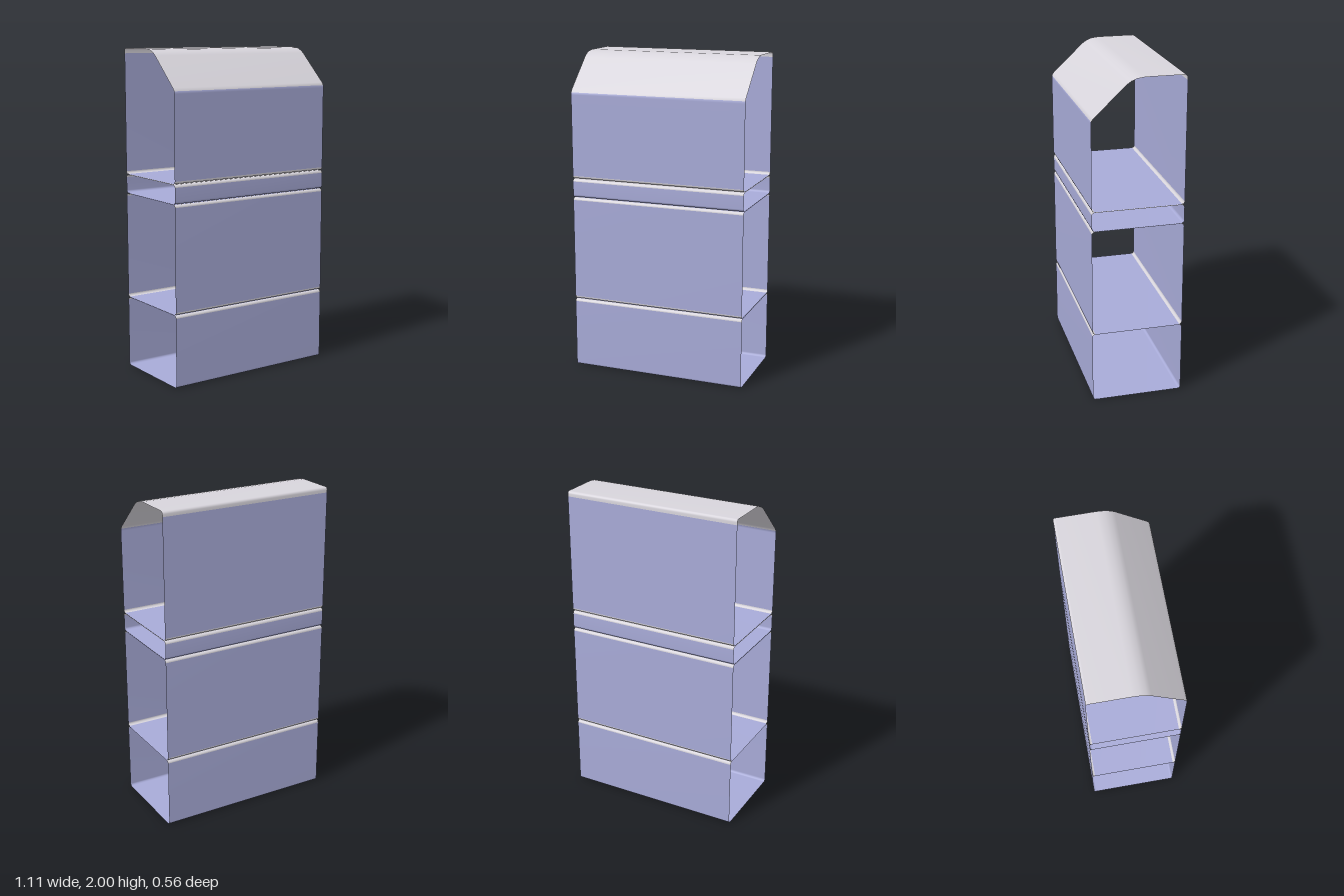
import * as THREE from 'three';

const HALF_X = 0.555, HALF_Z = 0.278, R = 0.016, GAP = 0.002;
const BLUE = 0, GREY = 1;

// Rounded corner as [z, y, colour] points, counter-clockwise seen from the side
function corner(z, y, startDeg, colour, steps = 3) {
  const pts = [];
  for (let i = 0; i <= steps; i++) {
    const a = THREE.MathUtils.degToRad(startDeg + (90 * i) / steps);
    pts.push([z + R * Math.cos(a), y + R * Math.sin(a), colour]);
  }
  return pts;
}

// The last point of a run starts the next flat panel, so it takes that panel's colour
function endAs(pts, colour) {
  pts[pts.length - 1][2] = colour;
  return pts;
}

// Open-ended sleeve: a closed profile swept along x, coloured strip by strip
function sleeve(profile, materials) {
  const n = profile.length, pos = [], index = [];
  for (const [z, y] of profile) pos.push(-HALF_X, y, z, HALF_X, y, z);
  const geo = new THREE.BufferGeometry();
  for (let i = 0; i < n; i++) {
    const a = 2 * i, c = 2 * ((i + 1) % n);
    index.push(a, a + 1, c + 1, a, c + 1, c);
    geo.addGroup(i * 6, 6, profile[i][2]);
  }
  geo.setAttribute('position', new THREE.Float32BufferAttribute(pos, 3));
  geo.setIndex(index);
  geo.computeVertexNormals();
  return new THREE.Mesh(geo, materials);
}

export function createModel() {
  const group = new THREE.Group();
  const panel = new THREE.MeshStandardMaterial({ color: 0xa8abd8, side: THREE.DoubleSide });
  panel.name = 'lavender panel';
  const trim = new THREE.MeshStandardMaterial({ color: 0xd8d5dc, side: THREE.DoubleSide });
  trim.name = 'pale grey trim';
  const materials = [panel, trim];
  const z = HALF_Z - R;

  // Stacked compartments: bottom, top, lower edge colour, ceiling colour
  const boxes = [
    ['lowerCompartment', 0, 0.447, BLUE, BLUE],
    ['middleCompartment', 0.447, 1.11, GREY, BLUE],
    ['narrowCompartment', 1.11, 1.228, BLUE, GREY],
  ];
  for (const [name, bottom, top, edge, ceiling] of boxes) {
    const y0 = bottom + (bottom ? GAP : 0) + R, y1 = top - GAP - R;
    const mesh = sleeve([
      ...endAs(corner(z, y0, -90, edge), BLUE),
      ...endAs(corner(z, y1, 0, GREY), ceiling),
      ...endAs(corner(-z, y1, 90, GREY), BLUE),
      ...endAs(corner(-z, y0, 180, edge), BLUE),
    ], materials);
    mesh.name = name;
    group.add(mesh);
  }

  // Top compartment with a sloping grey hood at the front
  const y0 = 1.228 + GAP + R;
  const hood = sleeve([
    ...endAs(corner(z, y0, -90, GREY), BLUE),
    [HALF_Z, 1.75, BLUE],
    [HALF_Z, 1.765, GREY],
    [0.265, 1.783, GREY],
    [0.075, 1.962, GREY],
    [0.05, 1.98, GREY],
    [0.015, 1.994, GREY],
    [-0.03, 2, GREY],
    ...corner(-z, 2 - R, 90, GREY),
    [-HALF_Z, 1.968, BLUE],
    ...endAs(corner(-z, y0, 180, GREY), BLUE),
  ], materials);
  hood.name = 'hoodedTopCompartment';
  group.add(hood);

  return group;
}
